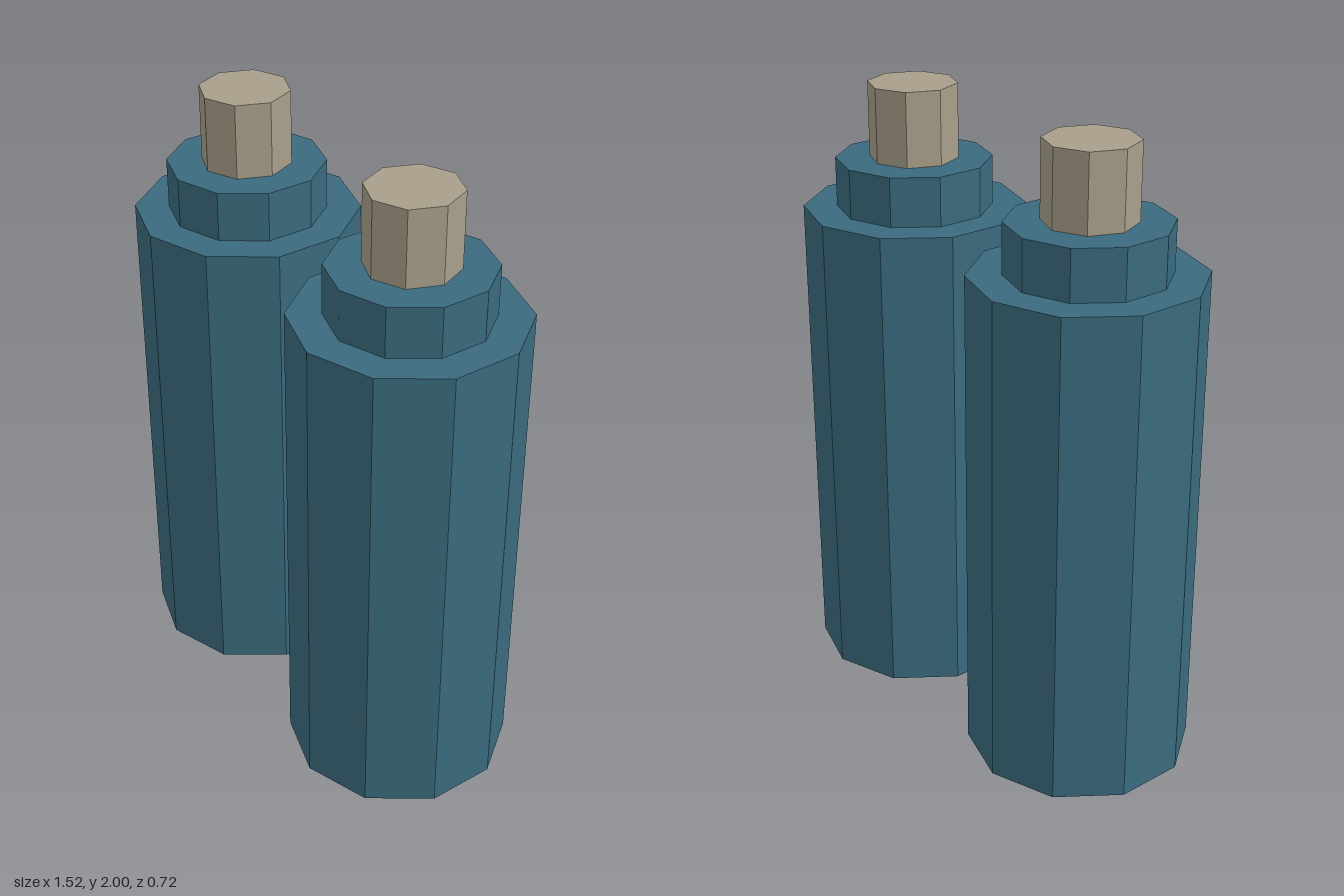
import * as THREE from 'three';

const teal = new THREE.MeshStandardMaterial({ color: 0x3a6b7e, flatShading: true });
const beige = new THREE.MeshStandardMaterial({ color: 0xa89f8a, flatShading: true });

// Upright prism standing between two heights
function prism(name, radius, sides, bottom, top, material) {
  const mesh = new THREE.Mesh(
    new THREE.CylinderGeometry(radius, radius, top - bottom, sides),
    material
  );
  mesh.name = name;
  mesh.position.y = (bottom + top) / 2;
  return mesh;
}

// One canister: wide body, stepped collar, narrow valve
function createCanister(name, x) {
  const canister = new THREE.Group();
  canister.name = name;
  canister.position.x = x;
  canister.add(
    prism('body', 0.36, 10, 0, 1.6, teal),
    prism('collar', 0.252, 10, 1.6, 1.76, teal),
    prism('valve', 0.144, 8, 1.76, 2, beige)
  );
  return canister;
}

export function createModel() {
  const model = new THREE.Group();
  model.name = 'canisterPair';
  model.add(createCanister('leftCanister', 0.42), createCanister('rightCanister', -0.42));
  return model;
}
